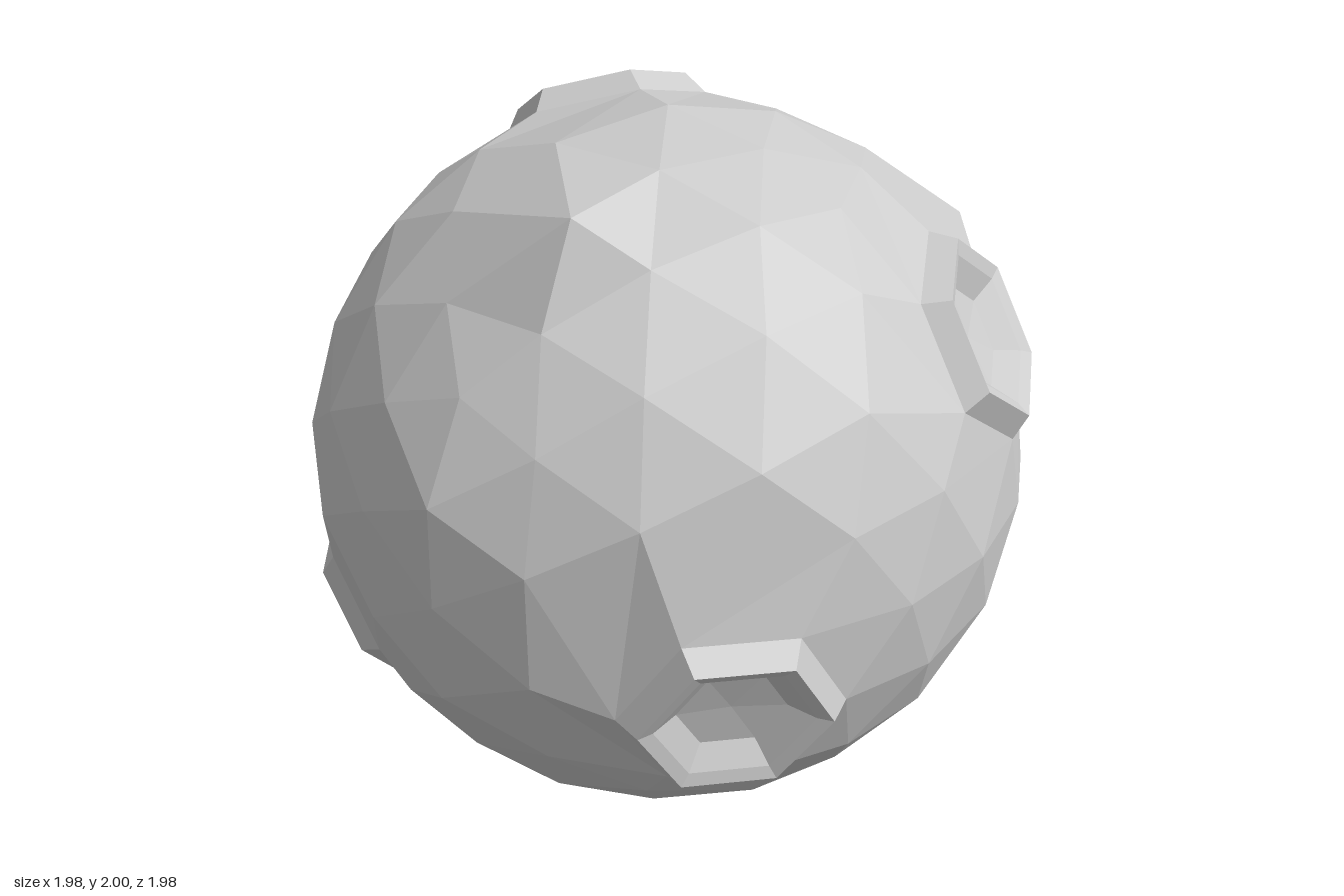
import * as THREE from 'three';
import { mergeVertices } from 'three/addons/utils/BufferGeometryUtils.js';

const V = (x, y, z) => new THREE.Vector3(x, y, z);
const RADIUS = 0.99;

// Craters: centre direction, and a point towards one corner of the hexagon
const craters = [
  [V(0.69, -0.24, 0.68), V(0.87, -0.24, 0.45)],
  [V(-0.68, -0.5, 0.55), V(-0.48, -0.49, 0.78)],
  [V(0.83, 0.5, -0.25), V(0.7, 0.72, -0.27)],
  [V(-0.25, -0.62, -0.74), V(-0.12, -0.46, -0.89)],
  [V(-0.43, 0.86, -0.28), V(-0.45, 0.94, 0)],
];

// Crater rings from foot to floor: width, distance from the body's centre
const rings = [[0.29, 0.95], [0.245, 1.015], [0.205, 1.0], [0.14, 0.95]];
const floorHeight = 0.94;

// Surface points pulled out into peaks
const peaks = [
  V(0.14, 0.92, 0.58), V(0.48, 0.57, -0.75), V(-0.99, 0, -0.3), V(-0.1, -1, 0.26),
  V(-0.36, 0.02, -0.96), V(0, 0.28, 0.98), V(0, -0.28, 0.98), V(0, 1, 0), V(0.99, 0, 0),
];

function flatMesh(points, name, material) {
  const geometry = new THREE.BufferGeometry().setFromPoints(points);
  geometry.computeVertexNormals();
  const mesh = new THREE.Mesh(geometry, material);
  mesh.name = name;
  return mesh;
}

// Local frame of a crater: outward axis and two tangents, u through a corner
function frame([centre, corner]) {
  const n = centre.clone().normalize();
  const u = corner.clone().addScaledVector(n, -corner.dot(n)).normalize();
  return { n, u, v: n.clone().cross(u) };
}

function ringPoint({ n, u, v }, k, [width, height]) {
  const a = (k * Math.PI) / 3;
  return n.clone().multiplyScalar(height)
    .addScaledVector(u, width * Math.cos(a))
    .addScaledVector(v, width * Math.sin(a));
}

function craterPoints(f) {
  const points = [];
  const centre = f.n.clone().multiplyScalar(floorHeight);
  for (let k = 0; k < 6; k++) {
    for (let r = 0; r < rings.length - 1; r++) {
      const a = ringPoint(f, k, rings[r]), b = ringPoint(f, k + 1, rings[r]);
      const c = ringPoint(f, k + 1, rings[r + 1]), d = ringPoint(f, k, rings[r + 1]);
      points.push(a, b, c, a, c, d);
    }
    const last = rings[rings.length - 1];
    points.push(ringPoint(f, k, last), ringPoint(f, k + 1, last), centre);
  }
  return points;
}

export function createModel() {
  const group = new THREE.Group();
  group.name = 'crateredRock';
  const material = new THREE.MeshStandardMaterial({ color: 0xcccccc, flatShading: true });

  // Faceted ball with shared vertices, so single points can be moved
  let ball = new THREE.IcosahedronGeometry(RADIUS, 3);
  ball.deleteAttribute('uv');
  ball.deleteAttribute('normal');
  ball = mergeVertices(ball, 1e-3);
  const verts = [];
  for (let i = 0; i < ball.attributes.position.count; i++) {
    verts.push(new THREE.Vector3().fromBufferAttribute(ball.attributes.position, i));
  }
  const index = ball.index.array;
  const faces = [];
  const near = verts.map(() => new Set());
  for (let i = 0; i < index.length; i += 3) {
    const face = [index[i], index[i + 1], index[i + 2]];
    faces.push(face);
    for (const a of face) for (const b of face) if (a !== b) near[a].add(b);
  }
  const start = verts.map((p) => p.clone());
  const used = new Set();
  const nearest = (target, allowed) => {
    const dir = target.clone().normalize();
    let best = -1, bestDot = -2;
    start.forEach((p, i) => {
      const d = p.dot(dir);
      if (d > bestDot && allowed(i)) { best = i; bestDot = d; }
    });
    return best;
  };

  // Fit the ball's vertices to the foot of each crater and open a hole there
  const holes = new Set();
  for (const crater of craters) {
    const f = frame(crater);
    const c = nearest(f.n, (i) => near[i].size === 6);
    const angle = (i) => {
      const p = start[i].clone().sub(start[c]);
      return Math.atan2(p.dot(f.v), p.dot(f.u));
    };
    const around = [...near[c]].sort((a, b) => angle(a) - angle(b));
    const shift = Math.round(angle(around[0]) / (Math.PI / 3));
    around.forEach((i, k) => {
      verts[i].copy(ringPoint(f, k + shift, rings[0]));
      used.add(i);
    });
    used.add(c);
    holes.add(c);
    group.add(flatMesh(craterPoints(f), 'crater', material));
  }

  // Pull out the peaks
  for (const peak of peaks) {
    const i = nearest(peak, (j) => !used.has(j));
    verts[i].copy(peak);
    used.add(i);
  }

  const bodyPoints = faces
    .filter((face) => !face.some((i) => holes.has(i)))
    .flatMap((face) => face.map((i) => verts[i]));
  group.add(flatMesh(bodyPoints, 'body', material));

  // Rest on the ground
  group.children.forEach((mesh) => mesh.geometry.translate(0, 1, 0));
  return group;
}
